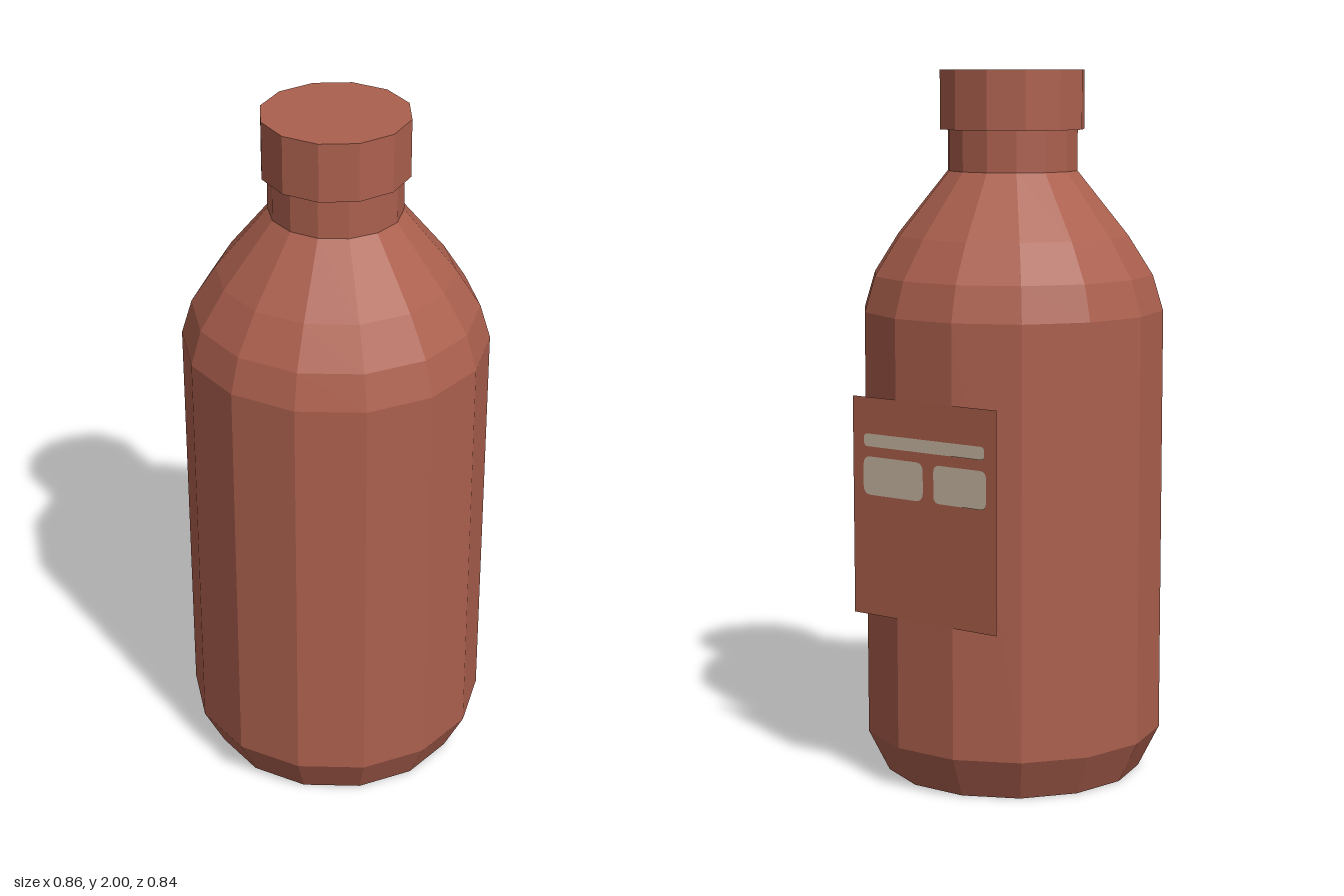
import * as THREE from 'three';

export function createModel() {
  const model = new THREE.Group();
  const clay = new THREE.MeshStandardMaterial({ name: 'clay red', color: 0xac604e, flatShading: true });
  const paper = new THREE.MeshStandardMaterial({ name: 'label red', color: 0xaa5f4a, side: THREE.DoubleSide });
  const print = new THREE.MeshStandardMaterial({ name: 'print beige', color: 0xc9b6a4 });

  const add = (name, geometry, material, parent = model) => {
    const mesh = new THREE.Mesh(geometry, material);
    mesh.name = name;
    parent.add(mesh);
    return mesh;
  };

  // Fourteen-sided turned part with a corner on the x axis
  const turned = (name, profile) => {
    const points = profile.map(([r, y]) => new THREE.Vector2(r, y));
    return add(name, new THREE.LatheGeometry(points, 14).rotateY(Math.PI / 2), clay);
  };

  // Closed base, straight wall and curved shoulder
  turned('body', [[0, 0], [0.37, 0], [0.43, 0.12], [0.43, 1.33], [0.4, 1.43], [0.33, 1.54], [0.185, 1.72]]);
  turned('neck', [[0.185, 1.72], [0.185, 1.84]]);

  // Twelve-sided cap with flats facing the axes
  const cap = new THREE.CylinderGeometry(0.206, 0.206, 0.165, 12, 1, false, Math.PI / 12);
  add('cap', cap, clay).position.y = 1.9175;

  // Flat label on the back, drawn in its own x, y plane
  const label = new THREE.Group();
  label.name = 'label';
  label.position.set(0, 0.8, -0.421);
  label.rotation.y = Math.PI;
  model.add(label);
  add('labelPlate', new THREE.PlaneGeometry(0.49, 0.615), paper, label);

  // Printed panel with rounded corners
  const panel = (name, x0, x1, y0, y1, r) => {
    const s = new THREE.Shape();
    s.moveTo(x0 + r, y0);
    s.lineTo(x1 - r, y0).quadraticCurveTo(x1, y0, x1, y0 + r);
    s.lineTo(x1, y1 - r).quadraticCurveTo(x1, y1, x1 - r, y1);
    s.lineTo(x0 + r, y1).quadraticCurveTo(x0, y1, x0, y1 - r);
    s.lineTo(x0, y0 + r).quadraticCurveTo(x0, y0, x0 + r, y0);
    add(name, new THREE.ShapeGeometry(s, 4), print, label).position.z = 0.003;
  };
  panel('printStripe', -0.204, 0.207, 0.17, 0.206, 0.012);
  panel('printBlockLeft', -0.207, 0, 0.034, 0.142, 0.025);
  panel('printBlockRight', 0.036, 0.213, 0.034, 0.14, 0.02);

  return model;
}
